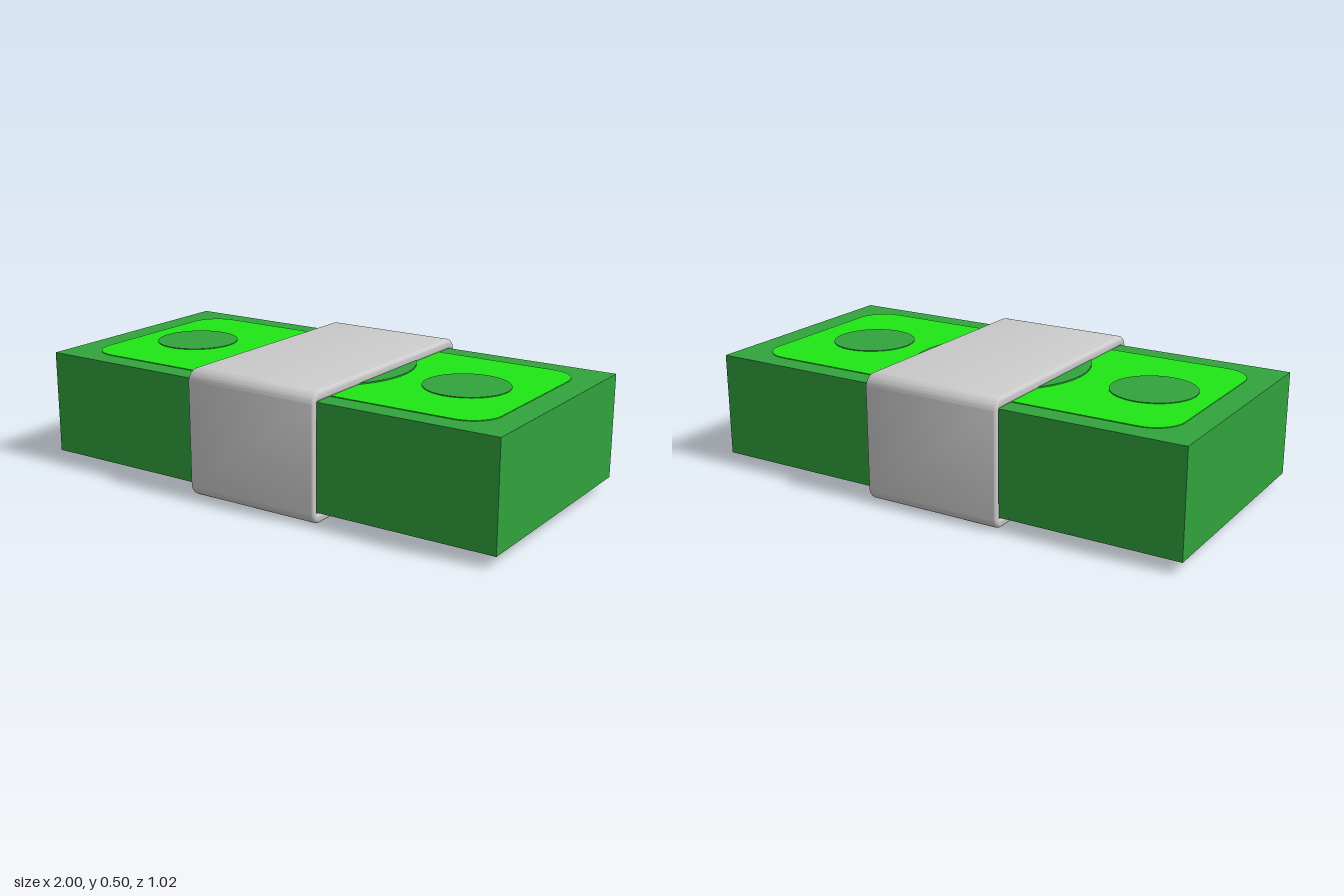
import * as THREE from 'three';
import { toCreasedNormals } from 'three/addons/utils/BufferGeometryUtils.js';

const paperGreen = new THREE.MeshStandardMaterial({ color: 0x32a33d });
const printGreen = new THREE.MeshStandardMaterial({ color: 0x1fe716 });
const grey = new THREE.MeshStandardMaterial({ color: 0xcccccc });

const BOTTOM = 0.045, TOP = 0.459, MID = (BOTTOM + TOP) / 2;

function add(parent, name, geometry, material, x = 0, y = 0, z = 0) {
  const mesh = new THREE.Mesh(geometry, material);
  mesh.name = name;
  mesh.position.set(x, y, z);
  parent.add(mesh);
  return mesh;
}

// Rounded rectangle centred on the origin
function roundedRect(w, h, r) {
  const s = new THREE.Shape(), x = w / 2 - r, y = h / 2 - r;
  s.absarc(x, y, r, 0, Math.PI / 2);
  s.absarc(-x, y, r, Math.PI / 2, Math.PI);
  s.absarc(-x, -y, r, Math.PI, Math.PI * 1.5);
  s.absarc(x, -y, r, Math.PI * 1.5, Math.PI * 2);
  s.closePath();
  return s;
}

// Printed decoration of one face, lying at y = 0 and facing up
function printedFace(name) {
  const face = new THREE.Group();
  face.name = name;
  const panel = new THREE.ExtrudeGeometry(roundedRect(1.795, 0.78, 0.12),
    { depth: 0.003, bevelEnabled: false, curveSegments: 12 });
  panel.rotateX(-Math.PI / 2);
  add(face, 'printedPanel', panel, printGreen);
  const disc = (label, r, h, x) =>
    add(face, label, new THREE.CylinderGeometry(r, r, h, 64), paperGreen, x, h / 2);
  disc('centreMedallion', 0.35, 0.008, 0);
  disc('rightDisc', 0.165, 0.006, -0.653);
  disc('leftDisc', 0.165, 0.006, 0.618);
  return face;
}

export function createModel() {
  const model = new THREE.Group();
  model.name = 'banknoteBundle';

  // Stack of notes
  add(model, 'noteStack', new THREE.BoxGeometry(2, TOP - BOTTOM, 0.955), paperGreen, 0, MID);

  // Print on the top and the underside
  const top = printedFace('topPrint');
  top.position.y = TOP;
  const under = printedFace('undersidePrint');
  under.rotation.x = Math.PI;
  under.position.y = BOTTOM;
  model.add(top, under);

  // Paper band: a rounded loop with softened edges, wrapped around the stack
  const bevel = 0.015, width = 0.57;
  const loop = roundedRect(1.018 - 2 * bevel, 0.5 - 2 * bevel, 0.035);
  loop.holes.push(new THREE.Path(
    roundedRect(0.955 + 2 * bevel - 0.006, TOP - BOTTOM + 2 * bevel, 0.016).getPoints(4).reverse()));
  let band = new THREE.ExtrudeGeometry(loop, {
    depth: width - 2 * bevel, bevelThickness: bevel, bevelSize: bevel, bevelSegments: 4, curveSegments: 10,
  });
  band.translate(0, 0, bevel - width / 2);
  band.rotateY(Math.PI / 2);
  band = toCreasedNormals(band, 0.7);
  add(model, 'paperBand', band, grey, 0, 0.25);

  return model;
}
